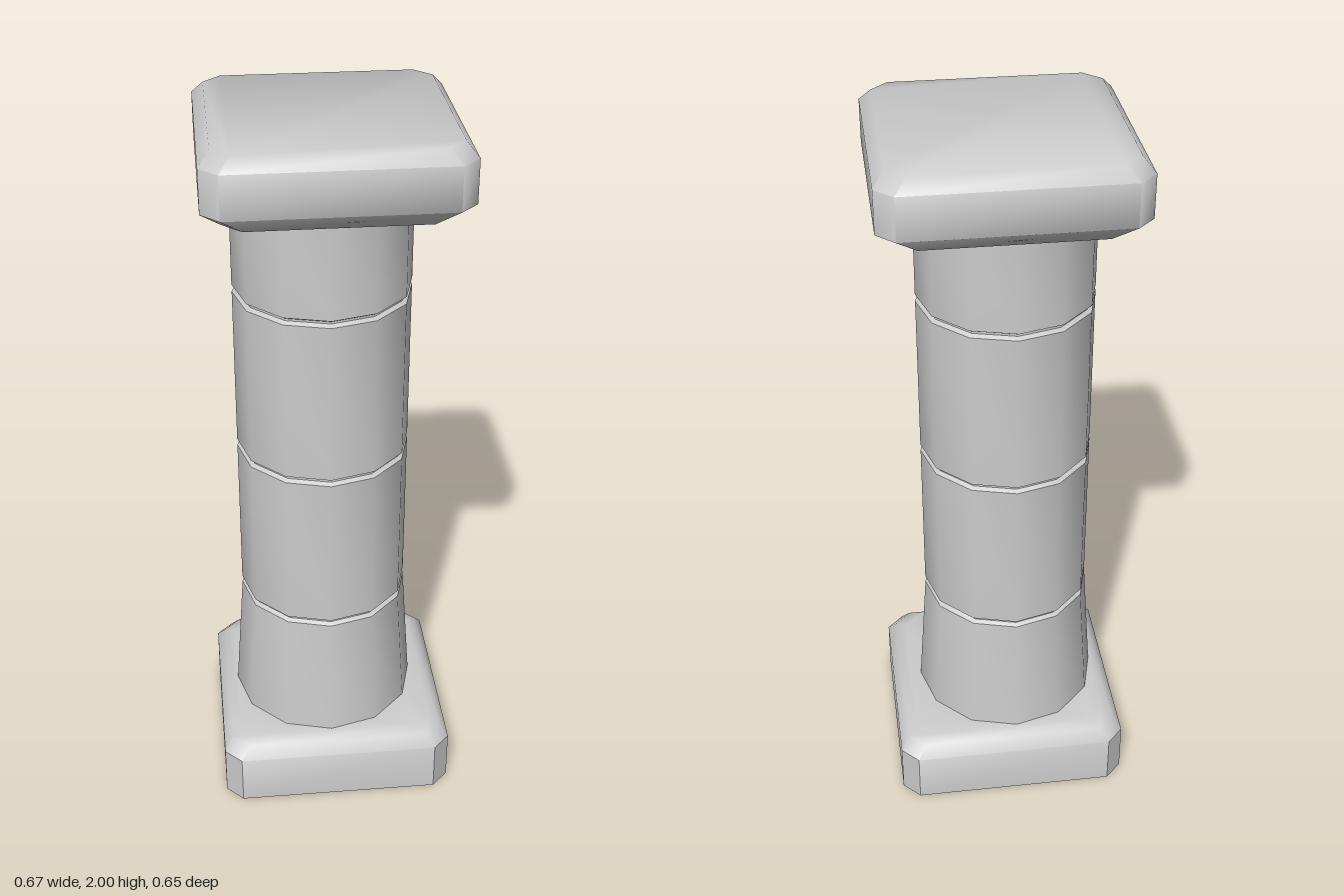
import * as THREE from 'three';
import { toCreasedNormals } from 'three/addons/utils/BufferGeometryUtils.js';

const material = new THREE.MeshStandardMaterial({ color: 0xcccccc, side: THREE.DoubleSide });
const SHAFT_X = -0.015;

// Stacks square rings with cut corners: [y, halfX, halfZ, cornerCut, centreX]
function stackedBlock(rings, { closeBottom = false, closeTop = false, crease }) {
  const positions = [];
  const loops = rings.map(([y, hx, hz, c, cx = 0]) => [
    [-hx + c, hz], [hx - c, hz], [hx, hz - c], [hx, -hz + c],
    [hx - c, -hz], [-hx + c, -hz], [-hx, -hz + c], [-hx, hz - c],
  ].map(([x, z]) => [x + cx, y, z]));
  const tri = (...corners) => corners.forEach((p) => positions.push(...p));
  for (let r = 0; r < loops.length - 1; r++) {
    for (let i = 0; i < 8; i++) {
      const j = (i + 1) % 8;
      const [a, b, c, d] = [loops[r][i], loops[r][j], loops[r + 1][j], loops[r + 1][i]];
      tri(a, b, c);
      tri(a, c, d);
    }
  }
  const last = loops[loops.length - 1];
  for (let i = 1; i < 7; i++) {
    if (closeBottom) tri(loops[0][0], loops[0][i + 1], loops[0][i]);
    if (closeTop) tri(last[0], last[i], last[i + 1]);
  }
  const geometry = new THREE.BufferGeometry();
  geometry.setAttribute('position', new THREE.Float32BufferAttribute(positions, 3));
  return toCreasedNormals(geometry, crease);
}

function addPart(group, name, geometry) {
  const mesh = new THREE.Mesh(geometry, material);
  mesh.name = name;
  group.add(mesh);
  return mesh;
}

export function createModel() {
  const group = new THREE.Group();
  group.name = 'column';

  // Hollow plinth, open underneath, with a bevelled upper rim meeting the shaft
  addPart(group, 'plinth', stackedBlock([
    [0, 0.333, 0.325, 0.047],
    [0.15, 0.333, 0.325, 0.047],
    [0.185, 0.308, 0.3, 0.047],
    [0.2, 0.28, 0.272, 0.047],
    [0.2, 0.235, 0.235, 0.14, SHAFT_X],
  ], { crease: 0.75 }));

  // Twelve-sided shaft: flared foot, then drums separated by narrow grooves
  const profile = [[0.274, 0.07]];
  for (const y of [0.575, 1.05, 1.525]) {
    profile.push([0.24, y - 0.01], [0.228, y - 0.003], [0.228, y + 0.003], [0.24, y + 0.01]);
  }
  profile.push([0.24, 1.83]);
  const lathe = new THREE.LatheGeometry(profile.map(([r, y]) => new THREE.Vector2(r, y)), 12);
  const shaft = addPart(group, 'shaft', toCreasedNormals(lathe, 0.6));
  shaft.position.x = SHAFT_X;

  // Solid capital with a wide lower bevel and a softer upper edge
  addPart(group, 'capital', stackedBlock([
    [1.8, 0.28, 0.272, 0.047],
    [1.85, 0.333, 0.325, 0.047],
    [1.965, 0.333, 0.325, 0.047],
    [2, 0.303, 0.295, 0.047],
  ], { closeBottom: true, closeTop: true, crease: 0.9 }));

  return group;
}
